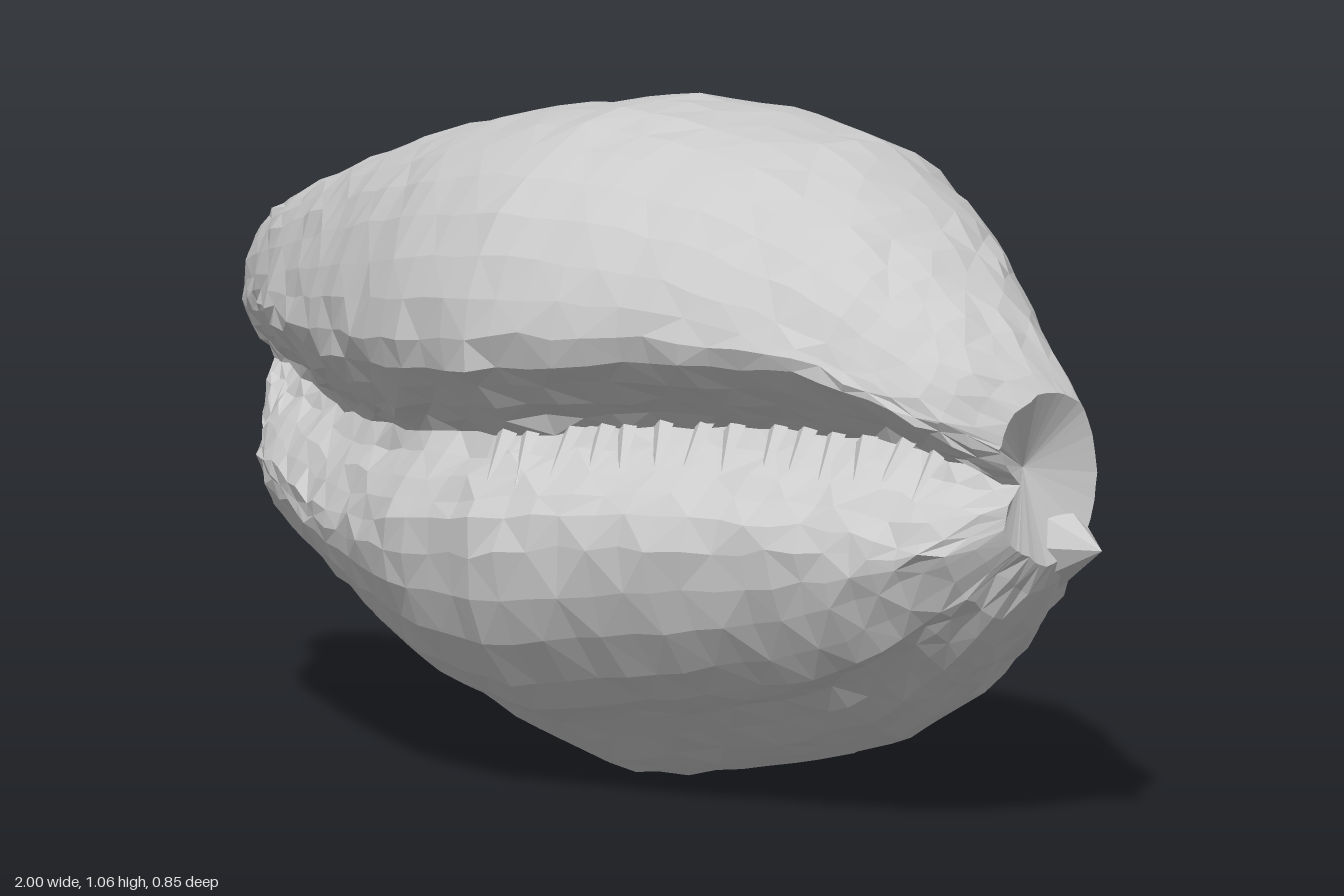
import * as THREE from 'three';

// Stations along the shell: x, top y, bottom y, front z, back z, groove y, groove depth
const STATIONS = [
  [-1.0, 0.73, 0.36, -0.03, -0.12, 0.53, 0.04],
  [-0.95, 0.77, 0.29, 0.0, -0.14, 0.52, 0.07],
  [-0.8, 0.83, 0.25, 0.1, -0.17, 0.51, 0.11],
  [-0.6, 0.91, 0.18, 0.2, -0.25, 0.5, 0.11],
  [-0.4, 0.97, 0.1, 0.295, -0.32, 0.51, 0.11],
  [-0.2, 1.02, 0.04, 0.385, -0.37, 0.53, 0.115],
  [0.05, 1.062, -0.01, 0.425, -0.415, 0.56, 0.115],
  [0.2, 1.055, 0.015, 0.4, -0.43, 0.58, 0.15],
  [0.4, 1.025, 0.05, 0.35, -0.405, 0.6, 0.18],
  [0.6, 0.95, 0.11, 0.28, -0.305, 0.6, 0.17],
  [0.7, 0.89, 0.16, 0.245, -0.245, 0.6, 0.16],
  [0.8, 0.82, 0.235, 0.2, -0.19, 0.59, 0.13],
  [0.87, 0.76, 0.31, 0.165, -0.155, 0.57, 0.1],
  [0.93, 0.69, 0.42, 0.07, -0.13, 0.55, 0.04],
];

// Normalised cross-section (z, y) from above the upper lip, over the back, to below the lower lip
const SECTION = [
  [0.95, 0.77], [0.72, 0.9], [0.4, 0.975], [0, 1], [-0.4, 0.98], [-0.67, 0.915],
  [-0.9, 0.755], [-1, 0.52], [-0.95, 0.33], [-0.72, 0.125], [-0.48, 0.062],
  [0, 0], [0.24, 0.03], [0.52, 0.098], [0.68, 0.125], [0.93, 0.25],
];

const ROWS = 42;
const RING = 46;

// Repeatable noise in -1..1
function noise(i, j) {
  const s = Math.sin(i * 127.1 + j * 311.7) * 43758.5453;
  return 2 * (s - Math.floor(s)) - 1;
}

function station(x) {
  let k = 0;
  while (k < STATIONS.length - 2 && x > STATIONS[k + 1][0]) k++;
  const a = STATIONS[k], b = STATIONS[k + 1];
  const t = THREE.MathUtils.clamp((x - a[0]) / (b[0] - a[0]), 0, 1);
  return a.map((v, i) => v + (b[i] - v) * t);
}

// One closed ring of points, starting on the groove floor
function ring(x) {
  const [, top, bottom, front, back, grooveY, depth] = station(x);
  const mid = (front + back) / 2, half = (front - back) / 2;
  const above = top - grooveY, below = grooveY - bottom;
  // Shallow valley running along the back to the left end
  const valley = 0.28 * THREE.MathUtils.smoothstep(-x, 0.45, 0.85);
  const outline = SECTION.map(([u, v]) => {
    const dip = u < 0 ? valley * Math.exp(-(((v - 0.5) / 0.15) ** 2)) : 0;
    let y = bottom + v * (top - bottom);
    // The front is measured from the groove, so that the lips follow it
    if (u > 0) y = grooveY + (v > 0.52 ? above * (v - 0.52) / 0.48 : below * (v - 0.52) / 0.52);
    return new THREE.Vector3(0, y, mid + u * half * (1 - dip));
  });
  const upper = Math.min(0.13, 0.42 * above), lower = Math.min(0.14, 0.42 * below);
  const points = [
    new THREE.Vector3(0, grooveY, front - depth),
    new THREE.Vector3(0, grooveY + 0.4 * upper, front - 0.5 * depth),
    new THREE.Vector3(0, grooveY + upper, front),
    ...outline,
    new THREE.Vector3(0, grooveY - lower, front - 0.01),
    new THREE.Vector3(0, grooveY - 0.5 * lower, front - 0.45 * depth),
  ];
  const curve = new THREE.CatmullRomCurve3(points, true, 'centripetal');
  // Left end: the lower lip stops short of the upper one
  const end = THREE.MathUtils.smoothstep(-x, 0.85, 1);
  return Array.from({ length: RING }, (_, j) => {
    const p = curve.getPoint(j / RING);
    p.x = x + end * 0.045 * (1 - THREE.MathUtils.smoothstep(p.y, 0.45, 0.66));
    return p;
  });
}

function shellGeometry() {
  const positions = [], index = [];
  for (let i = 0; i < ROWS; i++) {
    const t = i / (ROWS - 1);
    const even = -1 + 1.93 * t, eased = -0.035 - 0.965 * Math.cos(Math.PI * t);
    ring((even + eased) / 2).forEach((p, j) => {
      // Irregular facets, stronger round the lips
      const isEnd = i === 0 || i === ROWS - 1;
      const lip = j < 6 || j > RING - 6;
      const amount = isEnd ? 0.003 : lip ? 0.007 : 0.004;
      positions.push(
        p.x + (isEnd ? 0 : 0.006 * noise(i, j + 90)),
        Math.max(0, p.y + amount * noise(i, j)),
        p.z + amount * noise(i + 50, j),
      );
    });
  }
  const at = (i, j) => i * RING + (j % RING);
  for (let i = 0; i < ROWS - 1; i++) {
    for (let j = 0; j < RING; j++) {
      const a = at(i, j), b = at(i + 1, j), c = at(i + 1, j + 1), d = at(i, j + 1);
      // Alternate the diagonals so the facets do not line up
      if ((i + j) % 2) index.push(a, b, c, a, c, d);
      else index.push(a, b, d, b, c, d);
    }
  }
  // End caps, the right one hollowed
  const left = positions.length / 3, right = left + 1;
  positions.push(-0.955, 0.54, -0.08, 0.88, 0.57, -0.02);
  for (let j = 0; j < RING; j++) {
    index.push(left, at(0, j), at(0, j + 1));
    index.push(right, at(ROWS - 1, j + 1), at(ROWS - 1, j));
  }
  const geometry = new THREE.BufferGeometry();
  geometry.setAttribute('position', new THREE.Float32BufferAttribute(positions, 3));
  geometry.setIndex(index);
  geometry.computeVertexNormals();
  return geometry;
}

export function createModel() {
  const group = new THREE.Group();
  group.name = 'seashell';
  const material = new THREE.MeshStandardMaterial({
    color: 0xcccccc, flatShading: true, side: THREE.DoubleSide,
  });
  const add = (name, geometry, parent = group) => {
    const mesh = new THREE.Mesh(geometry, material);
    mesh.name = name;
    parent.add(mesh);
    return mesh;
  };

  add('shellBody', shellGeometry());

  // Blunt pointed spire at the left-hand end, below the hollow
  const spire = add('spire', new THREE.ConeGeometry(0.11, 0.14, 7));
  spire.rotation.z = -Math.PI / 2;
  spire.scale.set(0.8, 1, 0.75);
  spire.position.set(0.93, 0.445, -0.08);

  // Flat teeth slanting across the groove floor
  const teeth = new THREE.Group();
  teeth.name = 'teeth';
  group.add(teeth);
  for (let i = 0; i < 14; i++) {
    const x = 0.04 + i * 0.058 + 0.01 * noise(i, 5);
    const [, , , front, , grooveY, depth] = station(x);
    const length = 0.12 + 0.03 * noise(i, 7);
    const tooth = add('tooth', new THREE.ConeGeometry(0.022, length, 4), teeth);
    tooth.scale.z = 0.6;
    tooth.position.set(x, grooveY - 0.035, front - depth * 0.72);
    tooth.rotation.set(Math.PI - 0.75, 0, -0.3 + 0.25 * noise(i, 3));
  }
  return group;
}
